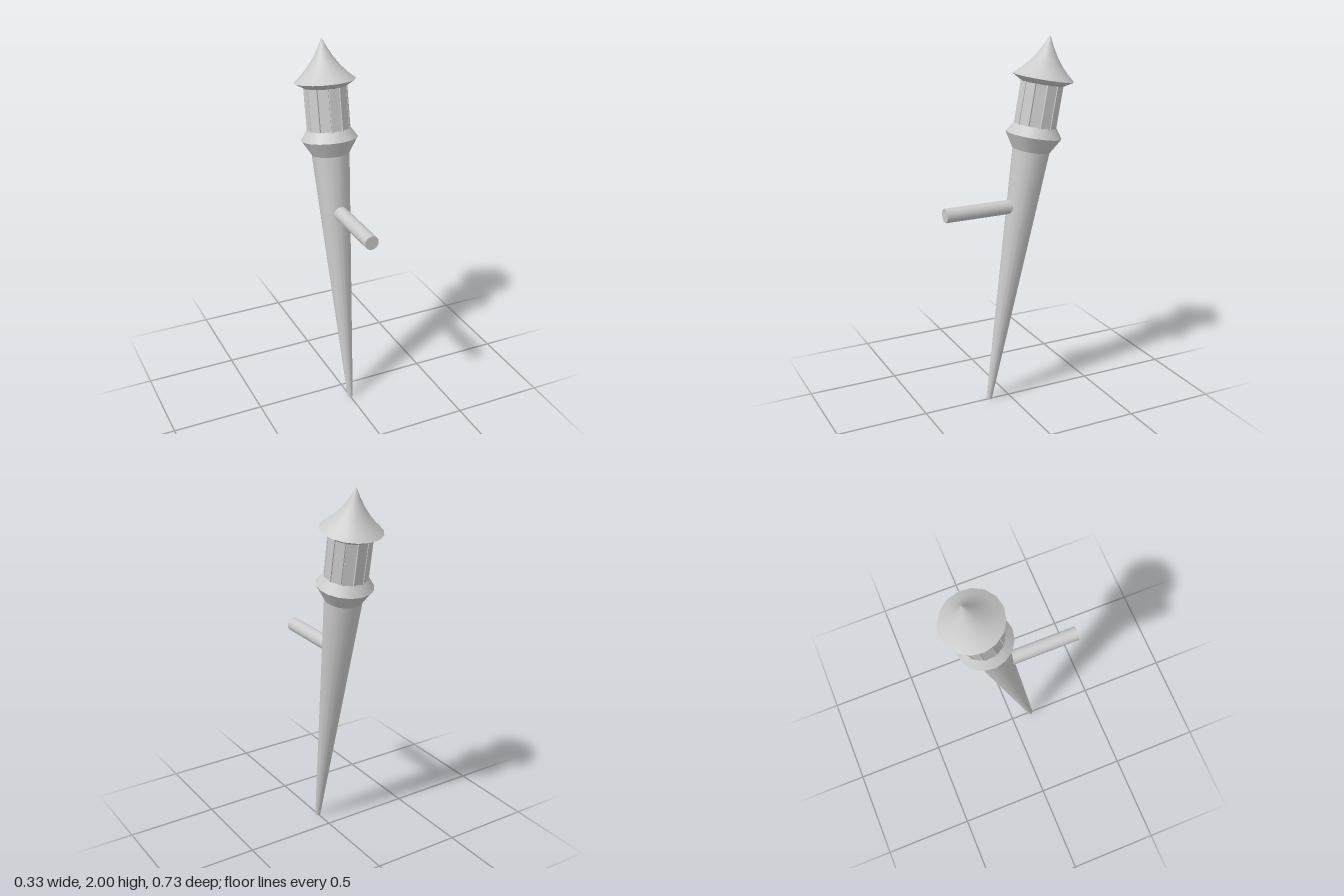
import * as THREE from 'three';

const SIDES = 16;
const material = new THREE.MeshStandardMaterial({ color: 0xcccccc });

function addMesh(parent, name, geometry) {
  const mesh = new THREE.Mesh(geometry, material);
  mesh.name = name;
  parent.add(mesh);
  return mesh;
}

// Turned section; the profile runs from bottom to top as [radius, height]
function addTurned(parent, name, profile) {
  const points = profile.map(([r, y]) => new THREE.Vector2(r, y));
  return addMesh(parent, name, new THREE.LatheGeometry(points, SIDES));
}

export function createModel() {
  const model = new THREE.Group();
  model.name = 'wallTorch';

  // Everything except the wall bracket leans back along one axis
  const torch = new THREE.Group();
  torch.name = 'torch';
  torch.position.set(0, 0.003, 0.12);
  torch.rotation.x = -0.179;
  model.add(torch);

  // Tapered shaft with a closed foot
  addTurned(torch, 'shaft', [[0.015, 0], [0.1, 1.425]]);
  addTurned(torch, 'shaftFoot', [[0, 0], [0.015, 0]]);

  // Flared collar: lower flare, upper bevel and flat floor
  addTurned(torch, 'collarFlare', [[0.1, 1.425], [0.15, 1.507]]);
  addTurned(torch, 'collarBevel', [[0.15, 1.507], [0.114, 1.56]]);
  addTurned(torch, 'collarFloor', [[0.114, 1.56], [0, 1.56]]);

  // Lantern: ring of narrow slats around a core
  const lantern = new THREE.Group();
  lantern.name = 'lantern';
  torch.add(lantern);
  addTurned(lantern, 'lanternCore', [[0.092, 1.55], [0.092, 1.79]]);
  const slatCount = 12;
  const slatGeometry = new THREE.BoxGeometry(0.054, 0.24, 0.012);
  for (let i = 0; i < slatCount; i++) {
    const angle = (i / slatCount) * Math.PI * 2;
    const slat = addMesh(lantern, 'lanternSlat', slatGeometry);
    slat.position.set(Math.sin(angle) * 0.106, 1.67, Math.cos(angle) * 0.106);
    slat.rotation.y = angle;
  }

  // Pointed roof with a concave sweep and a sloping underside
  addTurned(torch, 'roofUnderside', [[0, 1.78], [0.112, 1.78], [0.163, 1.81]]);
  addTurned(torch, 'roof', [
    [0.163, 1.81], [0.122, 1.846], [0.086, 1.885],
    [0.053, 1.93], [0.025, 1.978], [0, 2.03],
  ]);

  // Horizontal bracket reaching forward from the shaft
  const bracket = addMesh(model, 'bracket', new THREE.CylinderGeometry(0.038, 0.038, 0.415, SIDES));
  bracket.rotation.x = Math.PI / 2;
  bracket.position.set(0, 1.11, 0.1575);

  return model;
}
